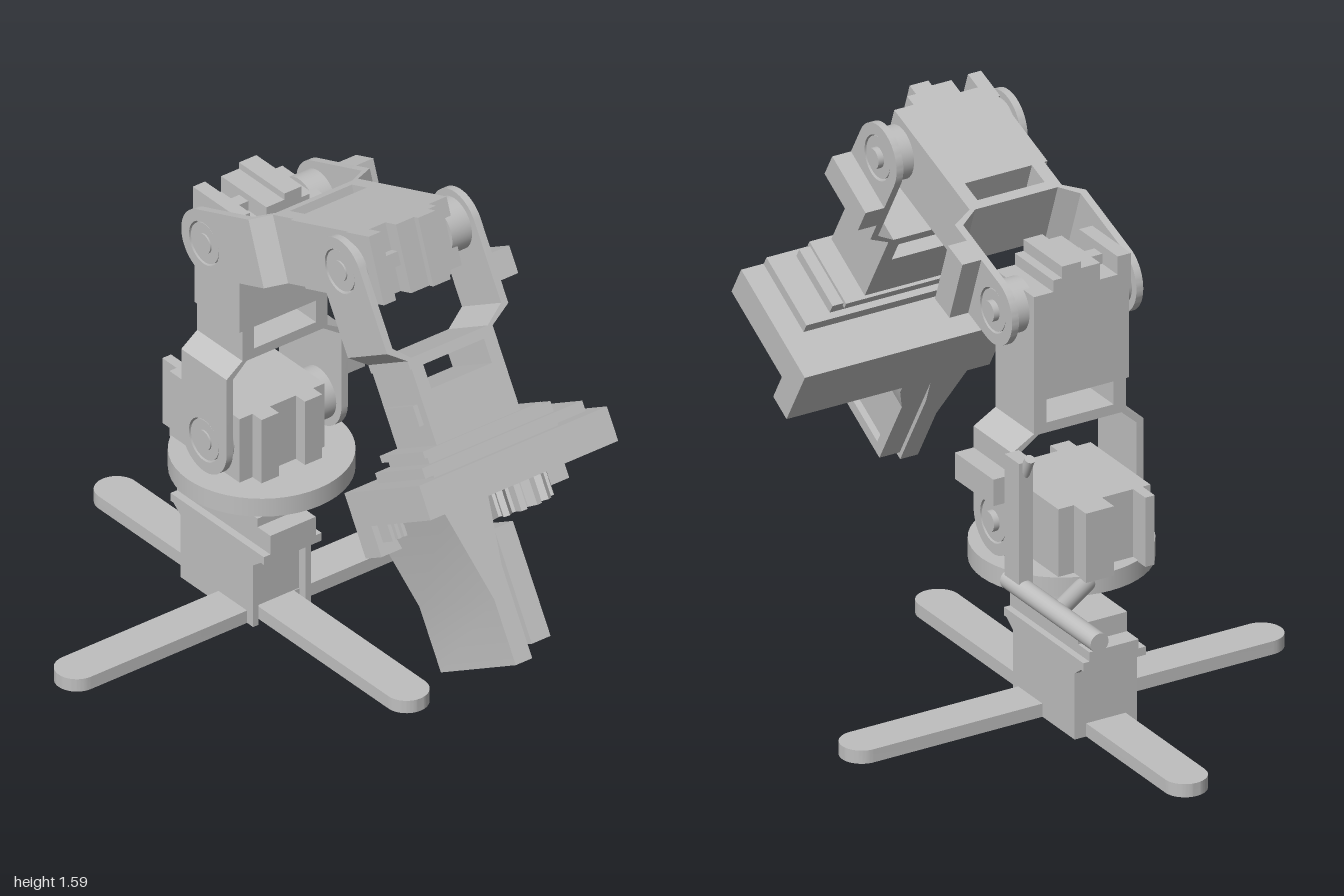
import * as THREE from 'three';
import { toCreasedNormals } from 'three/addons/utils/BufferGeometryUtils.js';

const grey = new THREE.MeshStandardMaterial({ color: 0xbfbfbf });
grey.name = 'plain grey';

function add(parent, name, geometry) {
  const mesh = new THREE.Mesh(geometry, grey);
  mesh.name = name;
  parent.add(mesh);
  return mesh;
}

// Box given by its limits on each axis
function box(parent, name, x0, x1, y0, y1, z0, z1) {
  const g = new THREE.BoxGeometry(x1 - x0, y1 - y0, z1 - z0);
  g.translate((x0 + x1) / 2, (y0 + y1) / 2, (z0 + z1) / 2);
  return add(parent, name, g);
}

// Cylinder along z
function disc(parent, name, x, y, z0, z1, r) {
  const g = new THREE.CylinderGeometry(r, r, z1 - z0, 40);
  g.rotateX(Math.PI / 2);
  g.translate(x, y, (z0 + z1) / 2);
  return add(parent, name, g);
}

function rod(parent, name, a, b, r) {
  const curve = new THREE.LineCurve3(new THREE.Vector3(...a), new THREE.Vector3(...b));
  const dir = curve.v2.clone().sub(curve.v1);
  const m = add(parent, name, new THREE.CylinderGeometry(r, r, dir.length(), 20));
  m.position.copy(curve.getPoint(0.5));
  m.quaternion.setFromUnitVectors(new THREE.Vector3(0, 1, 0), dir.normalize());
  return m;
}

function extrude(shape, depth) {
  const g = new THREE.ExtrudeGeometry(shape, { depth, bevelEnabled: false, curveSegments: 20 });
  return toCreasedNormals(g, 0.5);
}

const polygon = pts => new THREE.Shape(pts.map(p => new THREE.Vector2(p[0], p[1])));

// Extrude a (z, y) outline across x
function across(parent, name, pts, x0, x1) {
  const g = extrude(polygon(pts), x1 - x0);
  g.rotateY(-Math.PI / 2);
  g.translate(x1, 0, 0);
  return add(parent, name, g);
}

// Servo hubs on both sides of a joint
function hubs(parent, x, y) {
  disc(parent, 'frontHub', x, y, 0.15, 0.178, 0.077);
  disc(parent, 'frontHubCap', x, y, 0.17, 0.197, 0.061);
  disc(parent, 'frontHubScrew', x, y, 0.19, 0.202, 0.03);
  disc(parent, 'backHub', x, y, -0.2, -0.13, 0.077);
  disc(parent, 'backHubCap', x, y, -0.217, -0.19, 0.061);
  disc(parent, 'backHubScrew', x, y, -0.235, -0.21, 0.03);
}

// Fork of a link: joint at the origin, link runs along local y
function fork(parent) {
  const s = new THREE.Shape();
  s.moveTo(0.1, 0.23);
  s.lineTo(-0.1, 0.23);
  s.lineTo(-0.1, 0);
  s.absarc(0, 0, 0.1, Math.PI, Math.PI * 2, false);
  s.lineTo(0.1, 0.23);
  const hole = new THREE.Path();
  hole.absarc(0, 0, 0.066, 0, Math.PI * 2, true);
  s.holes.push(hole);
  for (const [name, z] of [['frontCheek', 0.178], ['backCheek', -0.22]]) {
    add(parent, name, extrude(s, 0.022)).position.z = z;
  }
  across(parent, 'forkBridge', [
    [0.2, 0.23], [0.2, 0.245], [0.145, 0.285], [0.145, 0.31], [-0.15, 0.31], [-0.15, 0.285],
    [-0.22, 0.245], [-0.22, 0.23], [-0.198, 0.23], [-0.198, 0.237], [-0.135, 0.28],
    [0.13, 0.28], [0.178, 0.237], [0.178, 0.23]], -0.1, 0.1);
  box(parent, 'cheekBlock', -0.1, 0.1, 0.1, 0.18, -0.28, -0.22);
}

// Servo housing at the far end of a link, with stepped slabs
function servoEnd(parent) {
  box(parent, 'frontSidePlate', -0.1, 0.1, 0.3, 0.4, 0.105, 0.145);
  box(parent, 'backSidePlate', -0.1, 0.1, 0.3, 0.4, -0.15, -0.11);
  box(parent, 'servoBody', -0.1, 0.1, 0.38, 0.7, -0.15, 0.155);
  for (const [z0, z1, top] of [[0.118, 0.16, 0.755], [0, 0.062, 0.75], [-0.06, 0, 0.77], [-0.088, -0.06, 0.735]]) {
    box(parent, 'servoSlab', -0.1, 0.1, 0.65, top, z0, z1);
  }
  box(parent, 'servoLug', -0.02, 0.02, 0.69, 0.73, 0.06, 0.12);
  hubs(parent, 0, 0.637);
}

function link(parent, name, x, y, angle) {
  const g = new THREE.Group();
  g.name = name;
  g.position.set(x, y, 0);
  g.rotation.z = angle;
  parent.add(g);
  fork(g);
  return g;
}

function buildBase(root) {
  const base = new THREE.Group();
  base.name = 'base';
  root.add(base);
  // Cross-shaped feet with round tips
  const s = new THREE.Shape();
  s.moveTo(0, -0.063);
  s.lineTo(0.64, -0.063);
  s.absarc(0.64, 0, 0.063, -Math.PI / 2, Math.PI / 2, false);
  s.lineTo(0, 0.063);
  for (let i = 0; i < 4; i++) {
    const g = extrude(s, 0.04);
    g.rotateX(-Math.PI / 2);
    g.rotateY(i * Math.PI / 2);
    add(base, 'foot', g).position.x = -0.3;
  }
  // Column with flared flange and turning servo
  box(base, 'column', -0.53, -0.24, 0, 0.25, -0.085, 0.085);
  const wall = polygon([[-0.53, 0], [-0.21, 0], [-0.21, 0.2], [-0.163, 0.235], [-0.163, 0.25],
    [-0.575, 0.25], [-0.575, 0.235], [-0.53, 0.2]]);
  for (const z of [-0.1, 0.082]) add(base, 'columnWall', extrude(wall, 0.018)).position.z = z;
  box(base, 'flange', -0.575, -0.163, 0.225, 0.25, -0.1, 0.1);
  box(base, 'servoEars', -0.575, -0.163, 0.25, 0.278, -0.08, 0.077);
  box(base, 'servoTop', -0.516, -0.22, 0.278, 0.337, -0.08, 0.077);
  box(base, 'servoStep', -0.22, -0.163, 0.278, 0.31, -0.08, 0.077);
  const cyl = (name, r, y0, y1) => {
    const g = new THREE.CylinderGeometry(r, r, y1 - y0, 48);
    add(base, name, g).position.set(-0.3, (y0 + y1) / 2, 0);
  };
  cyl('servoGearCase', 0.077, 0.33, 0.386);
  cyl('servoShaft', 0.031, 0.38, 0.425);
  cyl('turntable', 0.256, 0.437, 0.495);
}

function buildShoulder(root) {
  const g = new THREE.Group();
  g.name = 'shoulder';
  root.add(g);
  box(g, 'servoBody', -0.51, -0.2, 0.49, 0.7, -0.14, 0.155);
  box(g, 'holderEnd', -0.573, -0.5, 0.49, 0.7, -0.09, 0.0);
  box(g, 'holderWall', -0.573, -0.5, 0.49, 0.7, 0.1, 0.13);
  box(g, 'servoEar', -0.21, -0.16, 0.49, 0.7, -0.1, -0.04);
  box(g, 'servoEar', -0.21, -0.16, 0.49, 0.7, 0.05, 0.11);
  hubs(g, -0.3, 0.6);
  // Side handle with brace and post
  rod(g, 'handle', [-0.87, 0.467, -0.23], [-0.4, 0.467, -0.23], 0.029);
  rod(g, 'handleBrace', [-0.64, 0.467, -0.22], [-0.53, 0.467, -0.06], 0.025);
  box(g, 'post', -0.485, -0.41, 0.48, 0.855, -0.25, -0.205);
  rod(g, 'postPin', [-0.5, 0.87, -0.225], [-0.47, 0.81, -0.225], 0.015);
}

function buildGripper(wrist) {
  const g = new THREE.Group();
  g.name = 'gripper';
  wrist.add(g);
  // Wrist servo and mounting plates
  box(g, 'wristBody', -0.1, 0.1, 0.38, 0.56, -0.15, 0.14);
  box(g, 'wristSidePlate', -0.1, 0.1, 0.3, 0.4, 0.1, 0.14);
  box(g, 'wristSidePlate', -0.1, 0.1, 0.3, 0.4, -0.15, -0.11);
  box(g, 'wristLug', -0.07, 0.07, 0.41, 0.47, 0.14, 0.155);
  box(g, 'innerFlange', -0.11, 0.11, 0.53, 0.55, -0.215, 0.195);
  box(g, 'mountPlate', -0.12, 0.12, 0.57, 0.6, -0.335, 0.22);
  box(g, 'mountNeck', -0.1, 0.1, 0.54, 0.63, -0.25, 0.18);
  // Housing with one raised wall
  box(g, 'housing', -0.127, 0.255, 0.61, 0.71, -0.4, 0.25);
  box(g, 'housingWall', 0.175, 0.255, 0.7, 0.8, -0.4, 0.25);
  // Drive gear
  const n = 16, pts = [];
  for (let i = 0; i < n; i++) {
    for (const [t, r] of [[0, 0.1], [0.2, 0.1], [0.4, 0.132], [0.75, 0.132], [0.95, 0.1]]) {
      const a = (i + t) * Math.PI * 2 / n;
      pts.push([Math.cos(a) * r, Math.sin(a) * r]);
    }
  }
  const gearShape = polygon(pts);
  const bore = new THREE.Path();
  bore.absarc(0, 0, 0.025, 0, Math.PI * 2, true);
  gearShape.holes.push(bore);
  const gear = extrude(gearShape, 0.075);
  gear.rotateX(-Math.PI / 2);
  add(g, 'driveGear', gear).position.set(0, 0.71, -0.075);
  for (let i = 0; i < 5; i++) {
    const z = 0.155 + i * 0.02;
    box(g, 'rackTooth', 0.1, 0.15, 0.71, 0.76, z, z + 0.011);
  }
  // Front jaw tapers from a wide root
  across(g, 'frontJaw', [[0.2, 0.71], [0.135, 0.98], [0.135, 1.17], [0.078, 1.17],
    [0.078, 0.9], [0.05, 0.71]], -0.127, 0.255);
  // Back jaw with a sunken inner panel
  box(g, 'backJaw', -0.127, 0.255, 0.8, 1.133, 0.02, 0.065);
  const frame = polygon([[-0.127, 0.8], [0.255, 0.8], [0.255, 1.133], [-0.127, 1.133]]);
  frame.holes.push(polygon([[-0.095, 0.83], [-0.095, 1.1], [0.223, 1.1], [0.223, 0.83]]));
  add(g, 'backJawFrame', extrude(frame, 0.02));
  across(g, 'backJawRoot', [[0.065, 0.71], [0.065, 0.82], [0, 0.9], [-0.03, 0.82], [-0.03, 0.71]], 0.13, 0.255);
}

export function createModel() {
  const root = new THREE.Group();
  root.name = 'robotArm';
  buildBase(root);
  buildShoulder(root);
  servoEnd(link(root, 'lowerLink', -0.3, 0.6, 0));
  servoEnd(link(root, 'upperLink', -0.3, 1.237, THREE.MathUtils.degToRad(-70.3)));
  buildGripper(link(root, 'wristLink', 0.3, 1.45, THREE.MathUtils.degToRad(-150)));
  return root;
}
